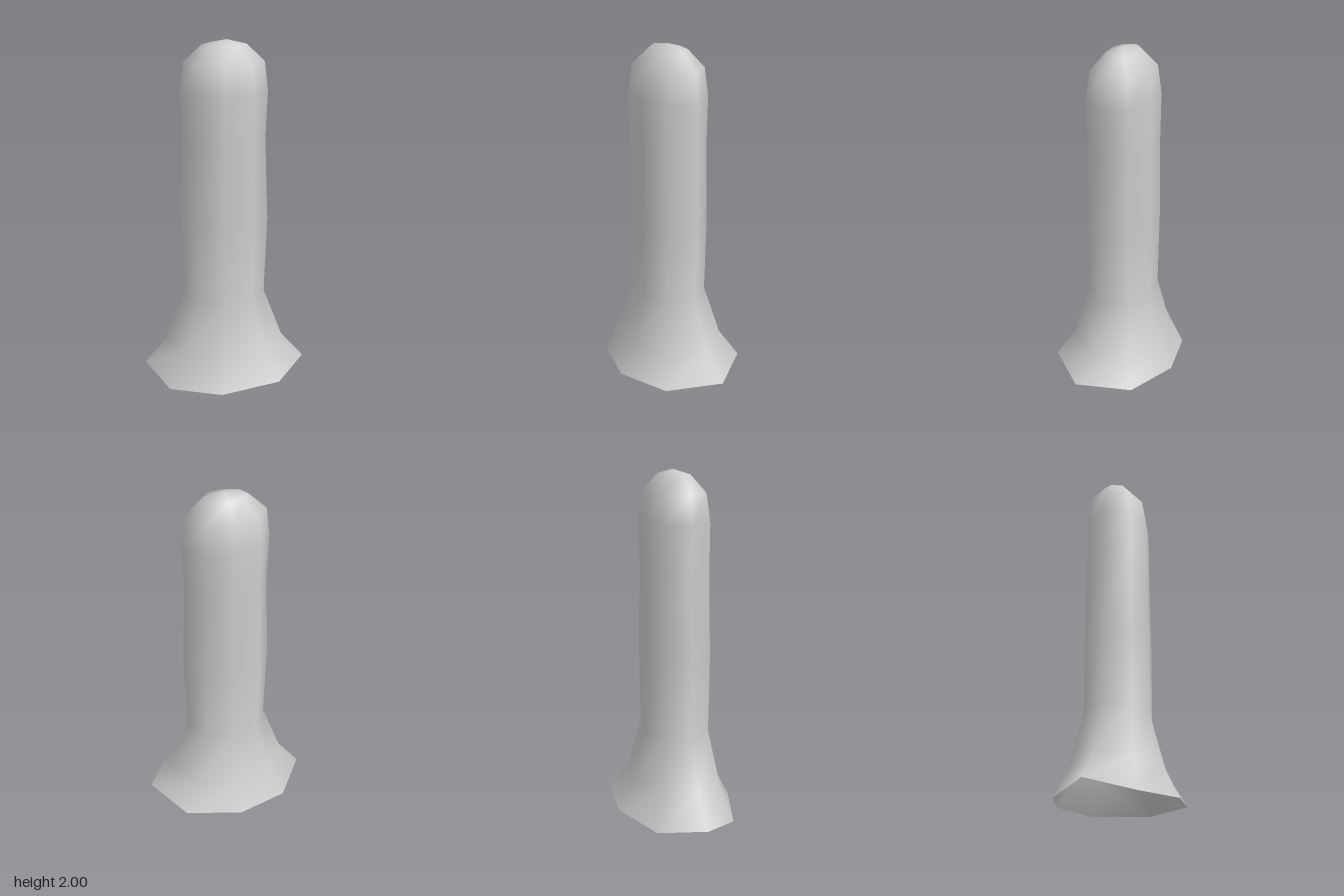
import * as THREE from 'three';

// Eight corners (x, z) of the shaft, running from +x towards +z
const SHAFT = [
  [0.245, 0.02], [0.145, 0.153], [-0.025, 0.184], [-0.19, 0.132],
  [-0.254, -0.018], [-0.16, -0.147], [0.007, -0.18], [0.17, -0.136],
];
// Matching corners (x, y, z) of the uneven flared hem
const HEM = [
  [0.475, 0.07, 0.03], [0.28, 0.06, 0.305], [-0.06, 0.025, 0.348], [-0.35, 0.003, 0.21],
  [-0.478, 0.055, -0.035], [-0.293, 0.015, -0.257], [0.015, 0.045, -0.352], [0.333, 0.06, -0.265],
];
// Shaft levels: height, x scale, z scale
const LEVELS = [
  [0.52, 0.94, 1], [0.97, 1, 1], [1.45, 0.92, 0.99], [1.72, 0.96, 0.98],
  [1.88, 0.885, 0.85], [1.975, 0.48, 0.42],
];

const shaftRing = ([y, sx, sz]) => SHAFT.map(([x, z]) => [x * sx, y, z * sz]);

// Skins closed rings from the bottom up and closes the top on one point
function loft(rings, tip) {
  const n = rings[0].length;
  const index = [];
  for (let r = 0; r < rings.length; r++) {
    for (let i = 0; i < n; i++) {
      const a = r * n + i;
      const b = r * n + (i + 1) % n;
      if (r < rings.length - 1) index.push(a, a + n, b, b, a + n, b + n);
      else index.push(a, rings.length * n, b);
    }
  }
  const geometry = new THREE.BufferGeometry();
  geometry.setAttribute('position', new THREE.Float32BufferAttribute([...rings.flat(2), ...tip], 3));
  geometry.setIndex(index);
  geometry.computeVertexNormals();
  return geometry;
}

export function createModel() {
  const group = new THREE.Group();
  group.name = 'flaredPost';

  // Flare: the hem, then a ring partway up to the shaft
  const neck = shaftRing(LEVELS[0]);
  const flare = HEM.map(([x, , z], i) => [
    THREE.MathUtils.lerp(neck[i][0], x, 0.46),
    0.22,
    THREE.MathUtils.lerp(neck[i][2], z, 0.43),
  ]);

  // One continuous open-bottomed skin with a rounded top
  const rings = [HEM, flare, ...LEVELS.map(shaftRing)];
  const material = new THREE.MeshStandardMaterial({ color: 0xcccccc, side: THREE.DoubleSide });
  const body = new THREE.Mesh(loft(rings, [0.01, 2, 0]), material);
  body.name = 'postBody';
  group.add(body);
  return group;
}
